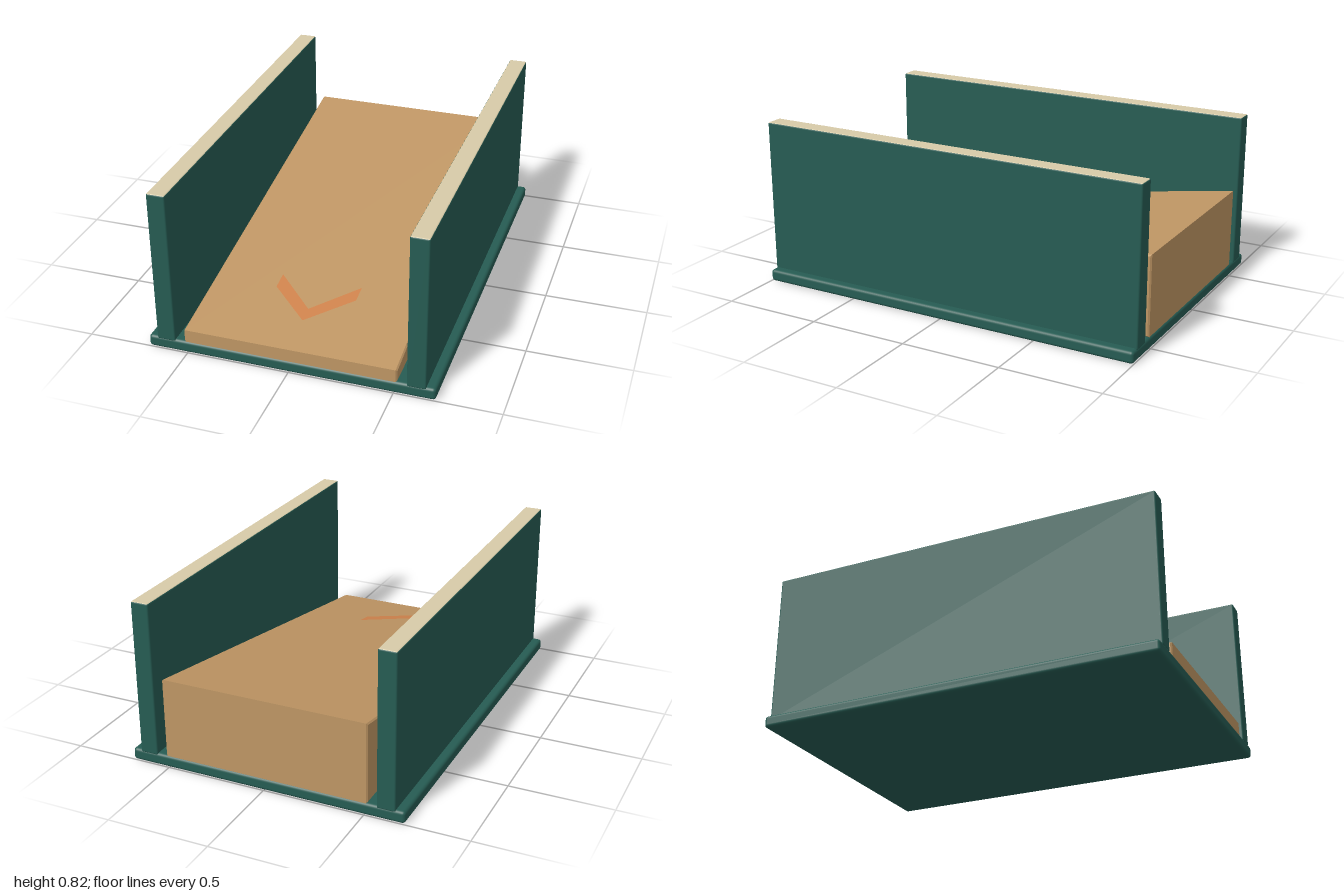
import * as THREE from 'three';
import { RoundedBoxGeometry } from 'three/addons/geometries/RoundedBoxGeometry.js';

const material = (name, color) => {
  const m = new THREE.MeshStandardMaterial({ color });
  m.name = name;
  return m;
};

export function createModel() {
  const green = material('dark green', 0x265c53);
  const cream = material('cream', 0xd8cba8);
  const tan = material('tan', 0xbf9664);
  const orange = material('orange', 0xcf834c);

  const model = new THREE.Group();
  model.name = 'rampBetweenWalls';
  const add = (name, geometry, mat, x = 0, y = 0, z = 0) => {
    const mesh = new THREE.Mesh(geometry, mat);
    mesh.name = name;
    mesh.position.set(x, y, z);
    model.add(mesh);
    return mesh;
  };

  // Base slab
  add('base', new RoundedBoxGeometry(1.39, 0.06, 2, 3, 0.016), green, 0, 0.03);

  // Side walls; only the top face is cream
  for (const side of [-1, 1]) {
    add(side < 0 ? 'rightWall' : 'leftWall',
      new RoundedBoxGeometry(0.09, 0.77, 2, 2, 0.008),
      [green, green, cream, green, green, green], side * 0.605, 0.435);
  }

  // Wedge ramp, rising towards the back, with chamfered side edges
  const end = 0.995, bevel = 0.007, width = 1.03;
  const rampHeight = (z) => 0.288 - 0.167 * z;
  const profile = new THREE.Shape([
    new THREE.Vector2(-end, 0.058),
    new THREE.Vector2(end, 0.058),
    new THREE.Vector2(end, rampHeight(end)),
    new THREE.Vector2(-end, rampHeight(-end)),
  ]);
  const wedge = new THREE.ExtrudeGeometry(profile, {
    depth: width - 2 * bevel, bevelEnabled: true, bevelSegments: 1,
    bevelSize: bevel, bevelThickness: bevel, bevelOffset: -bevel,
  });
  wedge.translate(0, 0, bevel - width / 2).rotateY(-Math.PI / 2);
  add('ramp', wedge, tan);

  // Painted chevron laid on the slope
  const chevron = new THREE.ShapeGeometry(new THREE.Shape(
    [[-0.2, 0.52], [-0.2, 0.61], [0, 0.8], [0.2, 0.61], [0.2, 0.52], [0, 0.72]]
      .map(([x, z]) => new THREE.Vector2(x, -z))));
  chevron.rotateX(-Math.PI / 2);
  const p = chevron.attributes.position;
  for (let i = 0; i < p.count; i++) p.setY(i, rampHeight(p.getZ(i)) + 0.003);
  chevron.computeVertexNormals();
  add('chevron', chevron, orange);

  return model;
}
